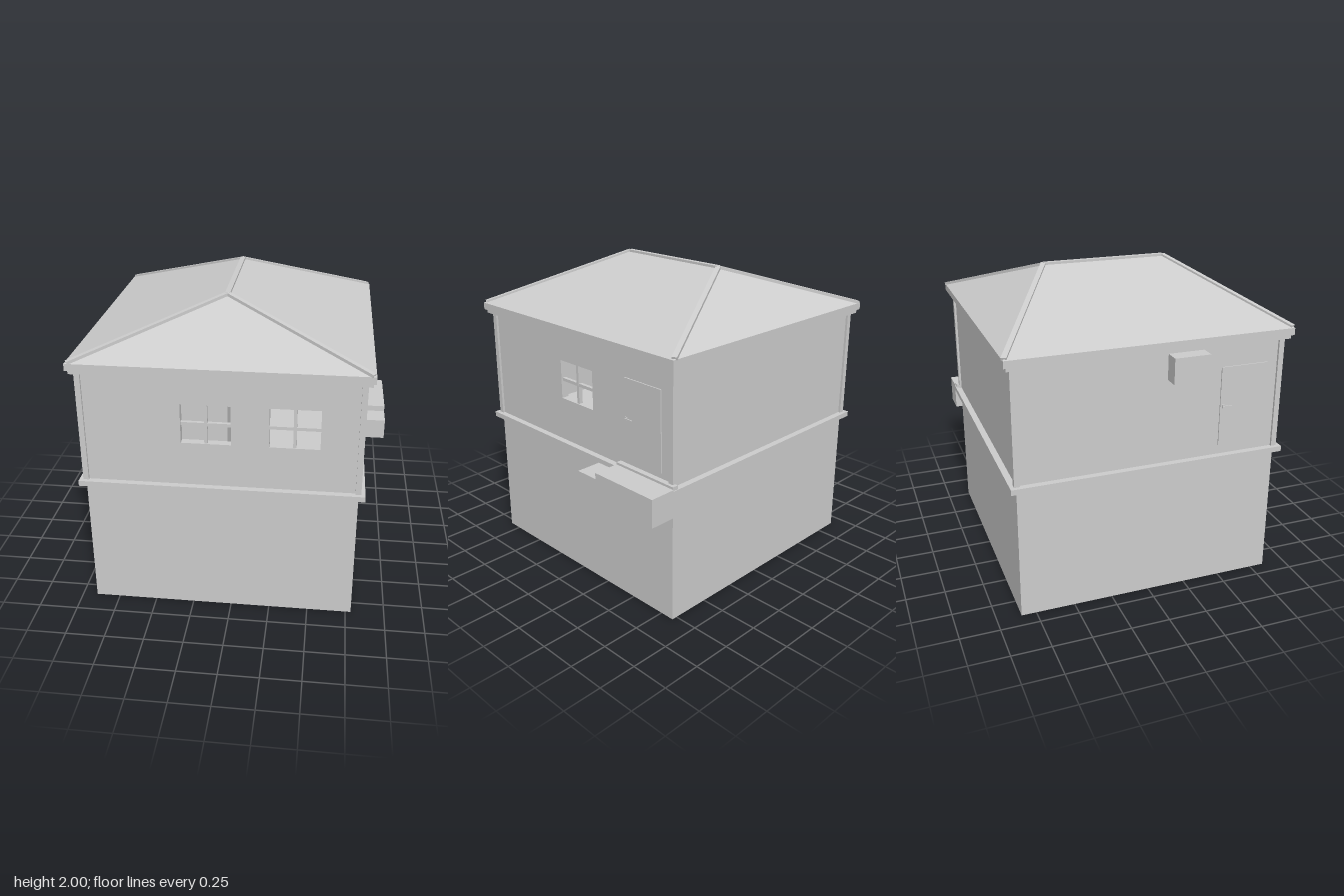
import * as THREE from 'three';

export function createModel() {
  const house = new THREE.Group();
  house.name = 'house';
  const grey = new THREE.MeshStandardMaterial({ color: 0xcccccc });
  grey.name = 'plain grey';

  const add = (parent, name, geometry) => {
    const mesh = new THREE.Mesh(geometry, grey);
    mesh.name = name;
    parent.add(mesh);
    return mesh;
  };
  // Box given by its minimum and maximum corners
  const box = (parent, name, x0, x1, y0, y1, z0, z1) => {
    const mesh = add(parent, name, new THREE.BoxGeometry(x1 - x0, y1 - y0, z1 - z0));
    mesh.position.set((x0 + x1) / 2, (y0 + y1) / 2, (z0 + z1) / 2);
    return mesh;
  };
  const slab = (name, half, y0, y1) => box(body, name, -half, half, y0, y1, -half, half);

  // The square building sits a little left of the origin
  const body = new THREE.Group();
  body.name = 'building';
  body.position.x = -0.06;
  house.add(body);

  // Lower storey, floor band and eaves
  const W = 0.845;
  slab('lowerStorey', W, 0, 0.865);
  slab('floorBand', 0.885, 0.865, 0.9);
  slab('eavesMoulding', 0.885, 1.62, 1.645);
  slab('fascia', 0.9, 1.645, 1.69);

  // Upper walls, with window holes cut by their centre positions
  const T = 0.05, winW = 0.305, winY0 = 1.185, winY1 = 1.44;
  const wall = (name, angle, windows) => {
    const side = new THREE.Group();
    side.name = name;
    side.rotation.y = angle;
    body.add(side);
    const outline = new THREE.Shape([
      new THREE.Vector2(-W, 0.9), new THREE.Vector2(W, 0.9),
      new THREE.Vector2(W, 1.62), new THREE.Vector2(-W, 1.62)]);
    for (const c of windows) {
      const a = c - winW / 2, b = c + winW / 2;
      outline.holes.push(new THREE.Path([
        new THREE.Vector2(a, winY0), new THREE.Vector2(a, winY1),
        new THREE.Vector2(b, winY1), new THREE.Vector2(b, winY0)]));
      // Crossed glazing bars
      box(side, 'windowUpright', c - 0.01, c + 0.01, winY0, winY1, W - 0.035, W - 0.008);
      box(side, 'windowCrossbar', a, b, 1.3, 1.32, W - 0.033, W - 0.01);
    }
    add(side, name + 'Panel', new THREE.ExtrudeGeometry(outline, { depth: T, bevelEnabled: false }))
      .position.z = W - T;
    return side;
  };
  wall('frontWall', 0, [-0.085, 0.45]);
  wall('backWall', Math.PI, []);
  const rightSide = wall('leftWall', Math.PI / 2, [0]);
  const leftSide = wall('rightWall', -Math.PI / 2, []);

  // Doors with lever handles
  for (const side of [rightSide, leftSide]) {
    box(side, 'door', 0.448, 0.755, 0.96, 1.475, W, W + 0.008);
    box(side, 'handleRose', 0.46, 0.475, 1.21, 1.232, W, W + 0.014);
    box(side, 'handleLever', 0.46, 0.522, 1.217, 1.225, W + 0.014, W + 0.02);
  }

  // Wall unit beside the door
  box(leftSide, 'wallUnit', 0.095, 0.325, 1.438, 1.6, W, 0.937);

  // Corner posts
  for (const sx of [-1, 1]) for (const sz of [-1, 1]) {
    const post = box(body, 'cornerPost', -0.0175, 0.0175, 0.9, 1.62, -0.0175, 0.0175);
    post.position.x = sx * 0.8425;
    post.position.z = sz * 0.8425;
  }

  // Cabinet inside the room
  box(body, 'cabinet', -0.6, 0.015, 0.9, 1.42, 0.16, 0.6);

  // Hipped roof: two trapezoids and two triangles
  const E = 0.9, y0 = 1.69, y1 = 1.99, R = 0.41;
  const fl = [-E, y0, E], fr = [E, y0, E], br = [E, y0, -E], bl = [-E, y0, -E];
  const rf = [0, y1, R], rb = [0, y1, -R];
  const faces = [fl, fr, rf, br, bl, rb, fr, br, rb, fr, rb, rf, bl, fl, rf, bl, rf, rb];
  const roof = new THREE.BufferGeometry();
  roof.setAttribute('position', new THREE.Float32BufferAttribute(faces.flat(), 3));
  roof.computeVertexNormals();
  add(body, 'roof', roof);

  // Capping strips along the hips and ridge
  const cap = (name, p, q) => {
    const a = new THREE.Vector3(...p), b = new THREE.Vector3(...q);
    const mesh = add(body, name, new THREE.BoxGeometry(0.032, 0.02, a.distanceTo(b)));
    mesh.position.copy(a).lerp(b, 0.5);
    mesh.lookAt(b.clone().add(body.position)); // target in world space
  };
  cap('ridgeCap', rb, rf);
  for (const sx of [-1, 1]) for (const sz of [-1, 1]) {
    cap('hipCap', [sx * 0.885, y0 + 0.005, sz * 0.892], [0, y1, sz * R]);
  }

  // Landing, step and door sill outside the door
  box(house, 'landing', 0.82, 0.99, 0.73, 0.91, -0.885, -0.4);
  box(house, 'step', 0.82, 0.99, 0.73, 0.87, -0.4, -0.24);
  box(house, 'doorSill', 0.78, 0.82, 0.9, 0.925, -0.88, -0.4);

  return house;
}
